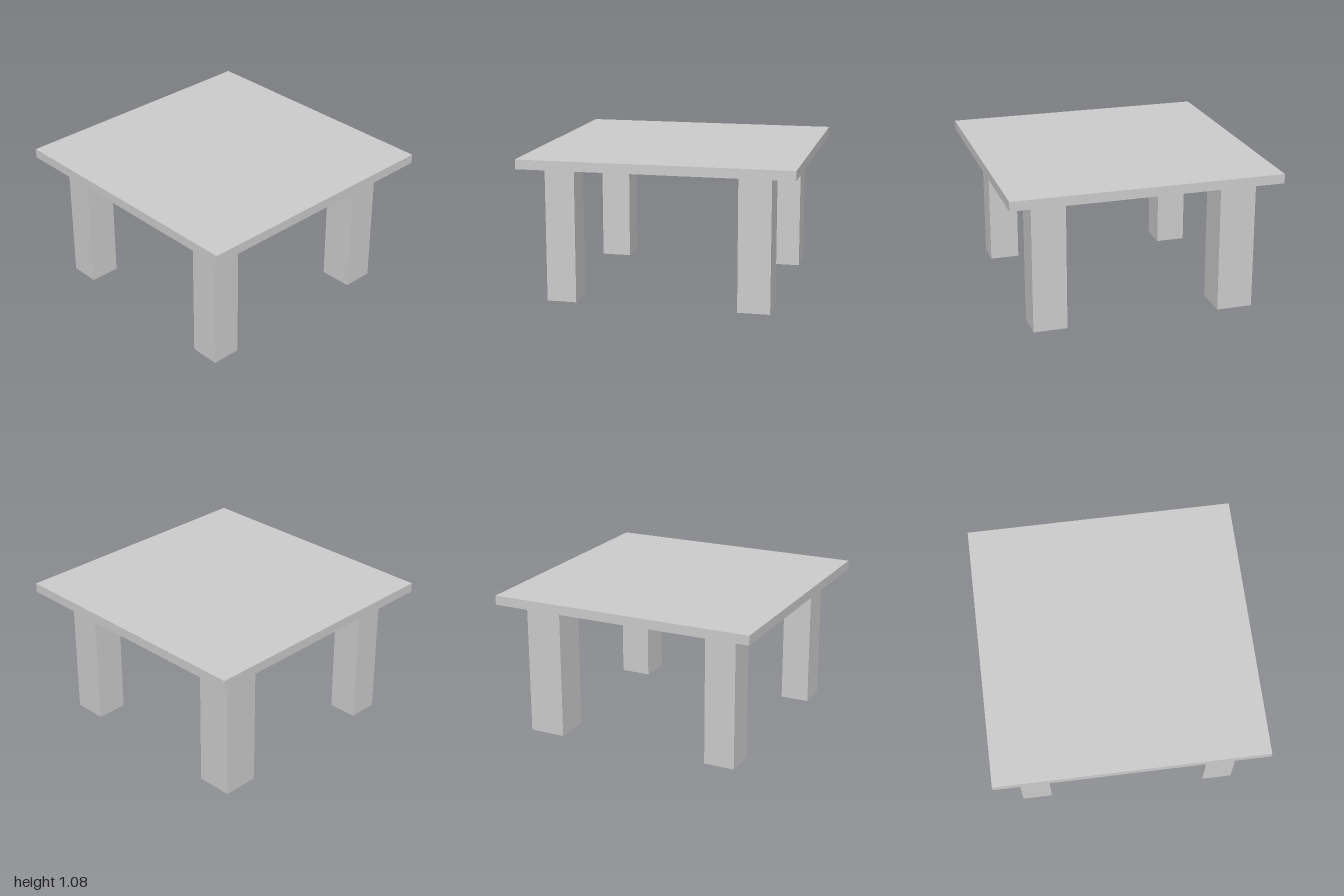
import * as THREE from 'three';

const material = new THREE.MeshStandardMaterial({ color: 0xcccccc, flatShading: true });

// Box given by its extents along each axis
function block(name, [x0, x1], [y0, y1], [z0, z1]) {
  const mesh = new THREE.Mesh(new THREE.BoxGeometry(x1 - x0, y1 - y0, z1 - z0), material);
  mesh.position.set((x0 + x1) / 2, (y0 + y1) / 2, (z0 + z1) / 2);
  mesh.name = name;
  return mesh;
}

export function createModel() {
  const table = new THREE.Group();
  table.name = 'table';

  // Thin square top
  const underside = 1.01;
  table.add(block('tableTop', [-1, 1], [underside, 1.08], [-1, 1]));

  // Four rough-cut legs, each slightly different in thickness and place
  const legs = [
    ['frontLeftLeg', [0.59, 0.815], [0.625, 0.845]],
    ['frontRightLeg', [-0.832, -0.605], [0.6, 0.83]],
    ['backLeftLeg', [0.558, 0.81], [-0.808, -0.57]],
    ['backRightLeg', [-0.858, -0.588], [-0.825, -0.553]],
  ];
  for (const [name, x, z] of legs) table.add(block(name, x, [0, underside], z));

  return table;
}
